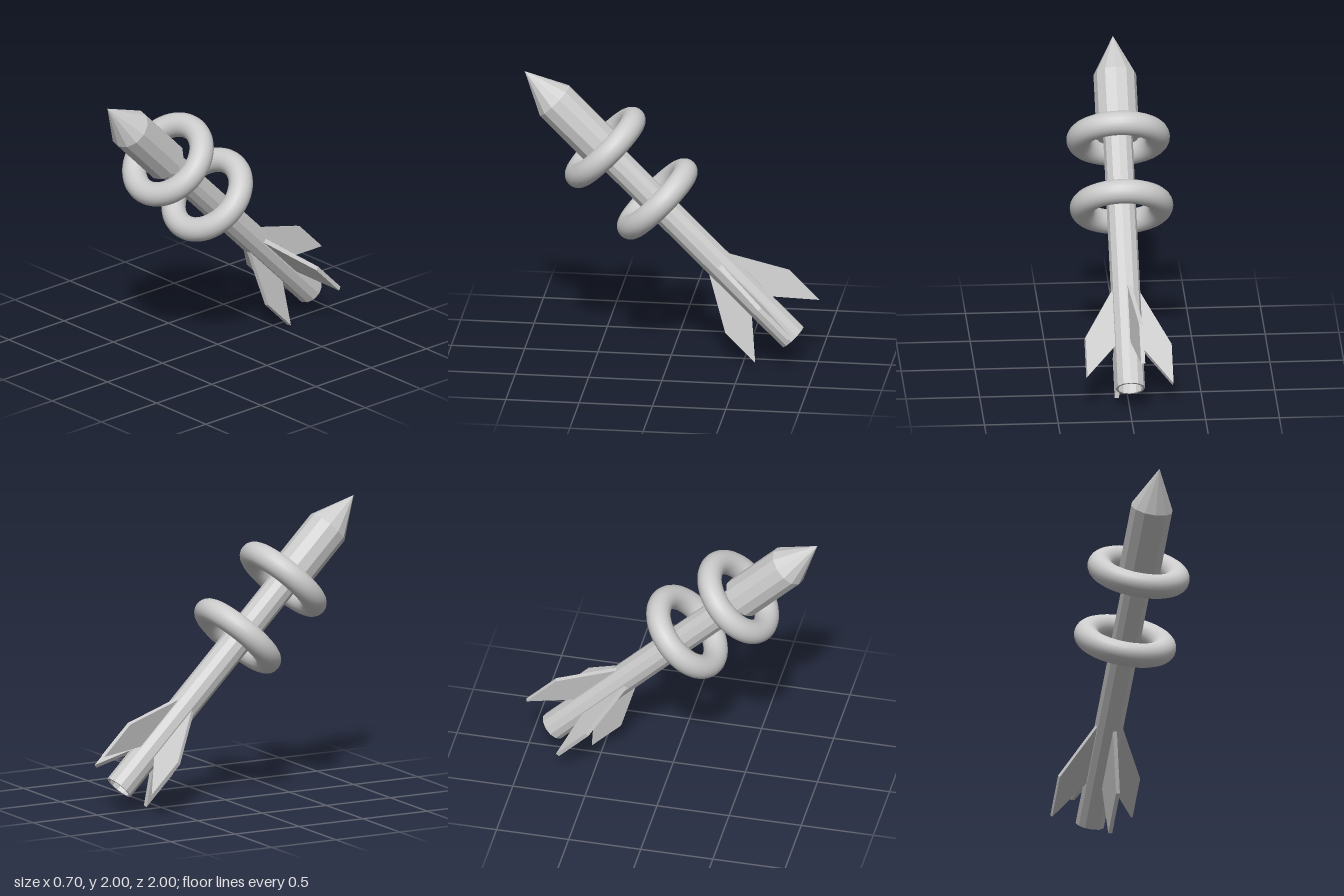
import * as THREE from 'three';

const SIDES = 12;

export function createModel() {
  const flat = new THREE.MeshStandardMaterial({ color: 0xcccccc, flatShading: true });
  const smooth = new THREE.MeshStandardMaterial({ color: 0xcccccc });
  const model = new THREE.Group();
  model.name = 'rocket';

  // Everything is built upright around y, then tilted nose-up towards the front
  const tilted = new THREE.Group();
  tilted.name = 'tiltedRocket';
  tilted.rotation.x = Math.PI / 4;
  tilted.position.y = 1;
  model.add(tilted);

  const add = (name, geometry, material, y = 0, z = 0) => {
    const mesh = new THREE.Mesh(geometry, material);
    mesh.name = name;
    mesh.position.set(0, y, z);
    tilted.add(mesh);
    return mesh;
  };
  const lathe = (pairs) =>
    new THREE.LatheGeometry(pairs.map(([r, y]) => new THREE.Vector2(r, y)), SIDES);

  // Hollow body tube, open at the tail
  add('bodyTube', lathe([[0.085, 0.72], [0.085, -1.175], [0.1, -1.175], [0.1, 0.72]]), flat);

  // Wider warhead section with its pointed nose
  add('nose', lathe([[0, 0.67], [0.145, 0.67], [0.145, 1.128], [0, 1.414]]), flat);

  // Two thick rings around the body
  [0.655, 0.153].forEach((y, i) => {
    const ring = new THREE.TorusGeometry(0.268, 0.083, 20, 56);
    ring.rotateX(Math.PI / 2);
    add(i ? 'rearRing' : 'frontRing', ring, smooth, y, -0.018);
  });

  // Four swept fins, turned slightly about the axis
  const outline = new THREE.Shape([
    [0.09, -0.45], [0.09, -0.867], [0.305, -1.118], [0.305, -0.83],
  ].map(([x, y]) => new THREE.Vector2(x, y)));
  const finGeometry = new THREE.ExtrudeGeometry(outline, { depth: 0.03, bevelEnabled: false });
  finGeometry.translate(0, 0, -0.015);
  for (let i = 0; i < 4; i++) {
    const fin = add('fin' + (i + 1), finGeometry, flat);
    fin.rotation.y = 0.253 + (i * Math.PI) / 2;
  }

  return model;
}
